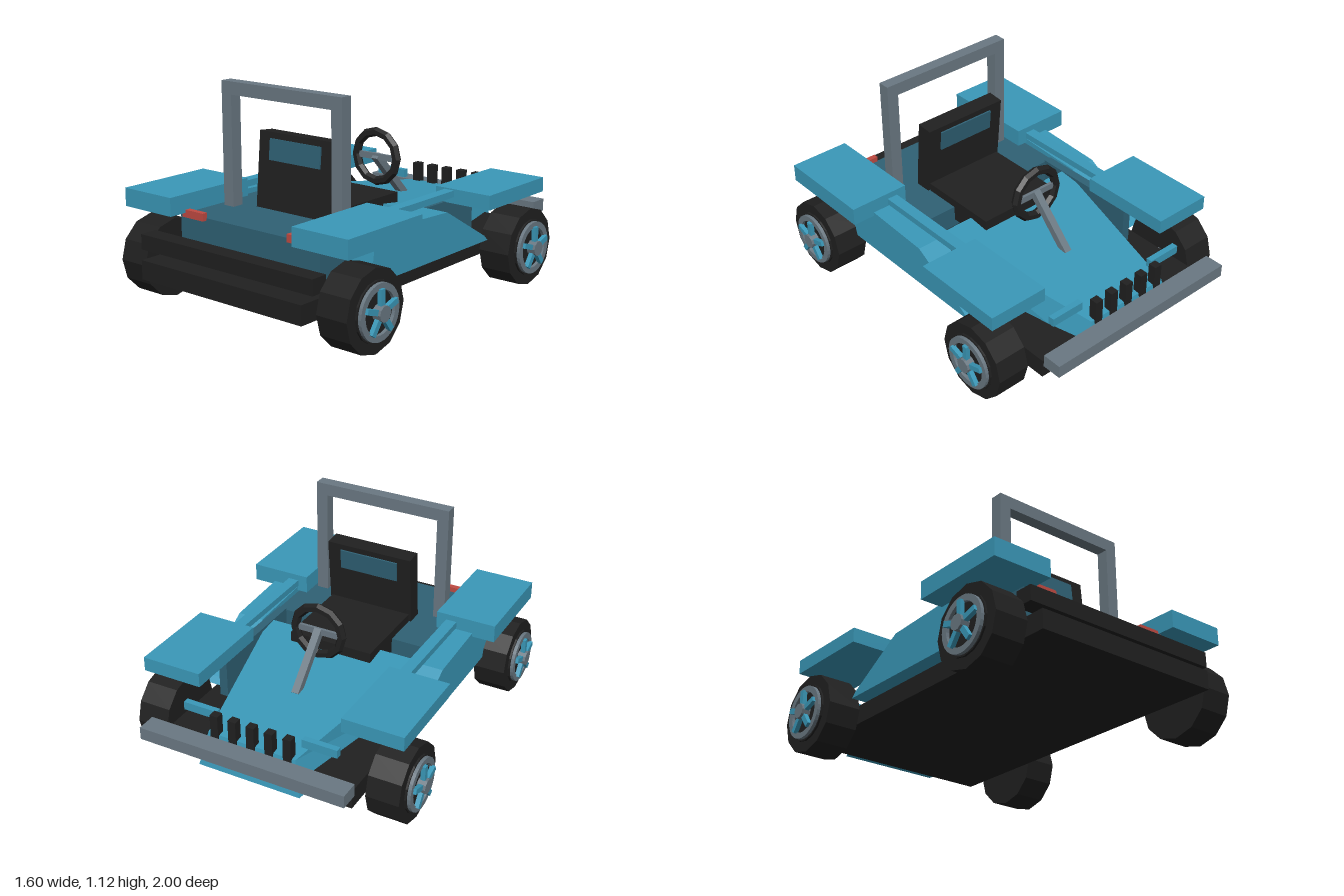
import * as THREE from 'three';

const mat = (name, color) => Object.assign(new THREE.MeshStandardMaterial({ color, flatShading: true }), { name });

export function createModel() {
  const blue = mat('body blue', 0x3a98b8);
  const teal = mat('dark teal', 0x2f6175);
  const grey = mat('metal grey', 0x6a7882);
  const black = mat('rubber black', 0x202020);
  const red = mat('lamp red', 0xbf4a42);
  const car = new THREE.Group();
  car.name = 'buggy';

  const add = (name, geo, m, parent = car) => {
    const mesh = new THREE.Mesh(geo, m);
    mesh.name = name;
    parent.add(mesh);
    return mesh;
  };
  // Box given by its limits on each axis
  const box = (name, m, x0, x1, y0, y1, z0, z1, parent = car) => {
    const mesh = add(name, new THREE.BoxGeometry(Math.abs(x1 - x0), y1 - y0, z1 - z0), m, parent);
    mesh.position.set((x0 + x1) / 2, (y0 + y1) / 2, (z0 + z1) / 2);
    return mesh;
  };
  // Solid between a rear and a front four-corner section
  const loft = (rear, front) => {
    const idx = [0, 2, 1, 0, 3, 2, 4, 5, 6, 4, 6, 7];
    for (let a = 0; a < 4; a++) {
      const b = (a + 1) % 4;
      idx.push(a, b, b + 4, a, b + 4, a + 4);
    }
    const g = new THREE.BufferGeometry();
    g.setAttribute('position', new THREE.Float32BufferAttribute([...rear, ...front].flat(), 3));
    g.setIndex(idx);
    const flat = g.toNonIndexed();
    flat.computeVertexNormals();
    return flat;
  };

  // Chassis, tub and bumpers
  box('floorPan', black, -0.53, 0.53, 0.165, 0.265, -0.845, 1);
  box('tub', teal, -0.46, 0.46, 0.265, 0.48, 0.165, 0.79);
  box('footwell', black, -0.43, 0.43, 0.265, 0.36, 0.03, 0.165);
  box('rearBumper', black, -0.567, 0.567, 0.305, 0.385, 0.87, 0.965);
  box('frontBumper', grey, -0.57, 0.57, 0.292, 0.36, -1, -0.895);

  // Tapered hood: bottom right, bottom left, top left, top right of each end
  const section = (zb, yb, wb, zt, yt, wt) => [[wb, yb, zb], [-wb, yb, zb], [-wt, yt, zt], [wt, yt, zt]];
  add('hood', loft(
    section(0.08, 0.265, 0.46, 0.03, 0.485, 0.44),
    section(-0.918, 0.185, 0.285, -0.88, 0.37, 0.245),
  ), blue);

  // Grille posts
  for (let i = -2; i <= 2; i++) {
    box('grillePost', black, i * 0.102 - 0.022, i * 0.102 + 0.022, 0.31, 0.48, -0.89, -0.845);
  }

  // Seat
  box('seatCushion', black, -0.235, 0.235, 0.4, 0.525, -0.09, 0.37);
  const back = new THREE.Group();
  back.name = 'seatBack';
  back.position.set(0, 0.66, 0.405);
  back.rotation.x = -0.09;
  car.add(back);
  box('backrest', black, -0.245, 0.245, -0.21, 0.21, -0.045, 0.045, back);
  box('backrestPanel', teal, -0.168, 0.168, 0.068, 0.178, -0.054, 0.054, back);

  // Roll bar
  for (const s of [-1, 1]) box('rollBarPost', grey, s * 0.328, s * 0.393, 0.48, 1.06, 0.485, 0.55);
  box('rollBarTop', grey, -0.393, 0.393, 1.06, 1.127, 0.485, 0.55);

  // Steering
  const wheelRim = add('steeringWheel', new THREE.TorusGeometry(0.135, 0.025, 6, 12), black);
  wheelRim.position.set(0, 0.66, -0.21);
  box('steeringSpoke', grey, -0.13, 0.13, 0.643, 0.677, -0.218, -0.202);
  const column = add('steeringColumn', new THREE.BoxGeometry(0.04, 0.04, 0.35), grey);
  column.position.set(0, 0.54, -0.325);
  column.rotation.x = -0.8;

  // Side pod outline as (-z, y)
  const podShape = new THREE.Shape([
    [-0.6, 0.268], [0.38, 0.268], [0.35, 0.297], [0.01, 0.495], [-0.37, 0.512], [-0.565, 0.5],
  ].map(([a, b]) => new THREE.Vector2(a, b)));

  const wheel = (s, z) => {
    const g = new THREE.Group();
    g.name = 'wheel';
    g.position.set(s * 0.568, 0.212, z);
    g.rotation.y = s > 0 ? 0 : Math.PI;
    car.add(g);
    // Disc along the axle, from a to b outward
    const disc = (name, m, r, a, b, sides) => {
      const geo = new THREE.CylinderGeometry(r, r, b - a, sides).rotateZ(-Math.PI / 2);
      add(name, geo, m, g).position.x = (a + b) / 2;
    };
    disc('axle', grey, 0.02, -0.08, 0.02, 8);
    disc('tyre', black, 0.208, 0, 0.177, 12);
    disc('rimBacking', black, 0.15, 0.17, 0.187, 16);
    const ring = new THREE.Shape().absarc(0, 0, 0.14, 0, Math.PI * 2);
    ring.holes.push(new THREE.Path().absarc(0, 0, 0.108, 0, Math.PI * 2, true));
    const ringGeo = new THREE.ExtrudeGeometry(ring, { depth: 0.025, bevelEnabled: false, curveSegments: 16 });
    add('rim', ringGeo.rotateY(Math.PI / 2), grey, g).position.x = 0.18;
    for (let i = 0; i < 5; i++) {
      const geo = new THREE.BoxGeometry(0.024, 0.09, 0.028).translate(0, 0.07, 0);
      const spoke = add('spoke', geo, blue, g);
      spoke.position.x = 0.209;
      spoke.rotation.x = i * Math.PI * 2 / 5;
    }
    disc('hub', grey, 0.04, 0.18, 0.234, 10);
  };

  // Mirrored side parts
  for (const s of [-1, 1]) {
    box('rearFender', blue, s * 0.4, s * 0.732, 0.492, 0.588, 0.37, 0.915);
    box('frontFender', blue, s * 0.4, s * 0.732, 0.485, 0.562, -0.715, -0.2);
    box('innerPanel', teal, s * 0.415, s * 0.462, 0.265, 0.488, -0.445, 0.17);
    box('sideRail', blue, s * 0.455, s * 0.515, 0.52, 0.555, -0.21, 0.375);
    const podGeo = new THREE.ExtrudeGeometry(podShape, { depth: 0.148, bevelEnabled: false });
    const pod = add('sidePod', podGeo.rotateY(Math.PI / 2), blue);
    pod.position.x = s > 0 ? 0.46 : -0.608;
    box('tailLamp', red, s * 0.278, s * 0.425, 0.468, 0.508, 0.785, 0.815);
    box('frontLampBar', blue, s * 0.24, s * 0.432, 0.4, 0.445, -0.81, -0.777);
    for (const z of [0.735, -0.575]) wheel(s, z);
  }
  return car;
}
